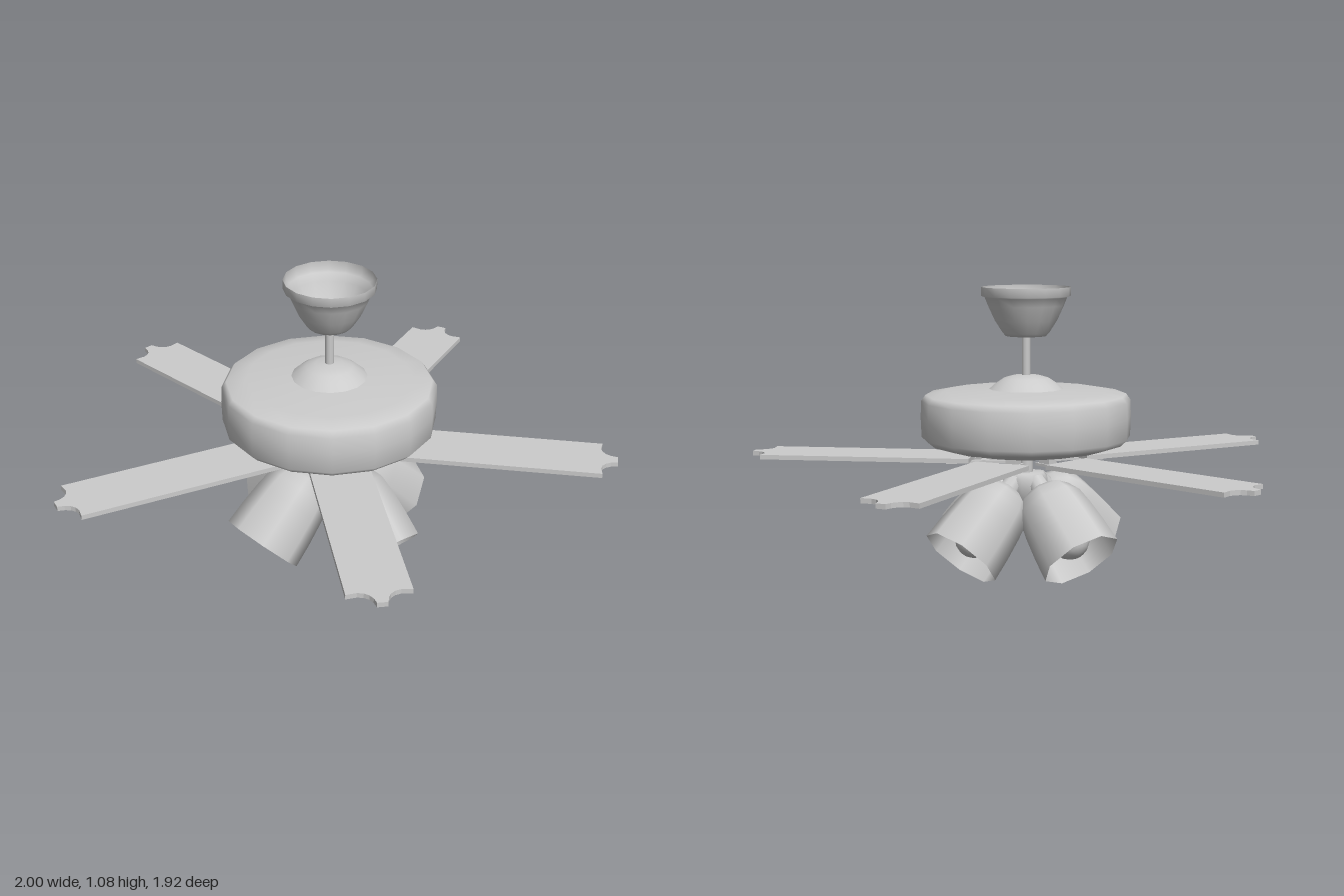
import * as THREE from 'three';

const material = new THREE.MeshStandardMaterial({ color: 0xcccccc, side: THREE.DoubleSide });

function add(parent, name, geometry, x = 0, y = 0, z = 0) {
  const mesh = new THREE.Mesh(geometry, material);
  mesh.name = name;
  mesh.position.set(x, y, z);
  parent.add(mesh);
  return mesh;
}

// Turned part; profile runs from bottom to top as [radius, height]
const turned = (profile, sides) =>
  new THREE.LatheGeometry(profile.map(([r, y]) => new THREE.Vector2(r, y)), sides);

// Flat plate: x is the radial direction, extruded upwards
function plate(shape, thickness) {
  return new THREE.ExtrudeGeometry(shape, { depth: thickness, bevelEnabled: false, curveSegments: 4 })
    .rotateX(-Math.PI / 2);
}

// Blade outline with a scalloped, pointed tip
function bladeShape() {
  const w = 0.108;
  const s = new THREE.Shape();
  s.moveTo(0.2, -w);
  s.lineTo(0.99, -w);
  s.lineTo(0.985, -0.07);
  s.quadraticCurveTo(0.99, -0.025, 1.045, -0.018);
  s.lineTo(1.045, 0.018);
  s.quadraticCurveTo(0.99, 0.025, 0.985, 0.07);
  s.lineTo(0.99, w);
  s.lineTo(0.2, w);
  s.closePath();
  return s;
}

// Bracket outline: narrow at the hub, flared under the blade, with a cut-out
function bracketShape() {
  const s = new THREE.Shape([[0.07, -0.025], [0.16, -0.03], [0.29, -0.075],
    [0.29, 0.075], [0.16, 0.03], [0.07, 0.025]].map(p => new THREE.Vector2(...p)));
  s.holes.push(new THREE.Path([[0.17, -0.015], [0.17, 0.015], [0.265, 0.05],
    [0.265, -0.05]].map(p => new THREE.Vector2(...p))));
  return s;
}

export function createModel() {
  const model = new THREE.Group();
  model.name = 'ceilingFan';
  const fan = new THREE.Group();
  fan.name = 'fanBody';
  fan.position.set(-0.012, 0, 0.083);
  model.add(fan);

  // Ceiling canopy, open at the top, and the down rod
  add(fan, 'canopy', turned([[0, 0.898], [0.075, 0.898], [0.086, 0.91], [0.115, 0.955],
    [0.14, 1.01], [0.152, 1.04], [0.165, 1.045], [0.165, 1.078]], 16));
  add(fan, 'downRod', new THREE.CylinderGeometry(0.016, 0.016, 0.18, 10), 0, 0.825);

  // Motor housing with a domed cap
  add(fan, 'motorHousing', turned([[0, 0.455], [0.17, 0.46], [0.3, 0.483], [0.365, 0.503],
    [0.388, 0.525], [0.391, 0.6], [0.388, 0.66], [0.372, 0.682], [0.3, 0.695], [0.135, 0.703]], 16));
  add(fan, 'motorCap', turned([[0.14, 0.7], [0.115, 0.722], [0.085, 0.742], [0.05, 0.752], [0, 0.755]], 16));

  // Five blades with their brackets
  const bladeGeometry = plate(bladeShape(), 0.017);
  const bracketGeometry = plate(bracketShape(), 0.01);
  for (let i = 0; i < 5; i++) {
    const arm = new THREE.Group();
    arm.name = 'bladeArm';
    arm.rotation.y = THREE.MathUtils.degToRad(88.5 + 72 * i);
    add(arm, 'blade', bladeGeometry, 0, 0.434);
    add(arm, 'bladeBracket', bracketGeometry, 0, 0.425);
    add(arm, 'bracketPost', new THREE.BoxGeometry(0.05, 0.035, 0.04), 0.11, 0.447);
    fan.add(arm);
  }

  // Light kit hub
  add(fan, 'lightStem', new THREE.CylinderGeometry(0.025, 0.025, 0.09, 10), 0, 0.42);
  add(fan, 'lightHub', turned([[0, 0.24], [0.035, 0.245], [0.06, 0.28], [0.08, 0.33],
    [0.08, 0.375], [0.065, 0.39], [0, 0.392]], 12));
  add(fan, 'finialNeck', new THREE.CylinderGeometry(0.012, 0.012, 0.06, 8), 0, 0.225);
  add(fan, 'finial', new THREE.SphereGeometry(0.028, 10, 8), 0, 0.19);

  // Four tilted shades, each with a socket and bulb
  const shadeGeometry = turned([[0.15, 0], [0.145, 0.09], [0.136, 0.18], [0.125, 0.245],
    [0.1, 0.29], [0.06, 0.315], [0.03, 0.32]], 8);
  for (let i = 0; i < 4; i++) {
    const mount = new THREE.Group();
    mount.name = 'lightMount';
    mount.rotation.y = THREE.MathUtils.degToRad(-8 + 90 * i);
    const lamp = new THREE.Group();
    lamp.name = 'lamp';
    lamp.position.set(0.31, 0.107, 0);
    lamp.rotation.z = Math.PI / 4;
    add(lamp, 'shade', shadeGeometry);
    add(lamp, 'bulb', new THREE.SphereGeometry(0.072, 12, 10), 0, 0.09);
    add(lamp, 'bulbNeck', new THREE.CylinderGeometry(0.03, 0.04, 0.17, 10), 0, 0.22);
    add(lamp, 'socket', new THREE.CylinderGeometry(0.035, 0.04, 0.07, 10), 0, 0.33);
    mount.add(lamp);
    fan.add(mount);
  }
  return model;
}
